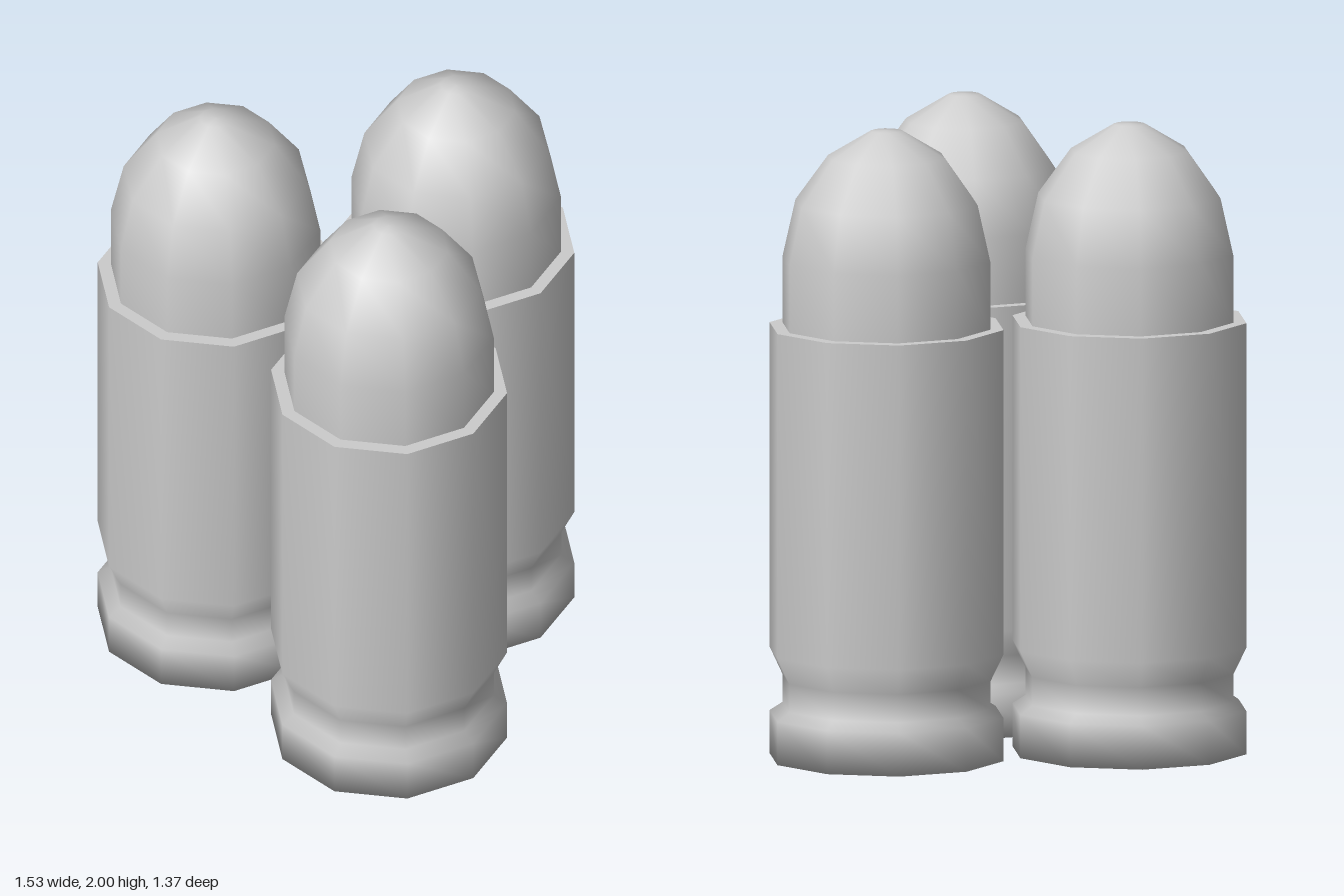
import * as THREE from 'three';

const SIDES = 10;
const material = new THREE.MeshStandardMaterial({ color: 0xcccccc });

// Turned part from [radius, height] pairs, with a corner of the decagon on the x axis
function turned(name, profile) {
  const points = profile.map(([r, y]) => new THREE.Vector2(r, y));
  const mesh = new THREE.Mesh(new THREE.LatheGeometry(points, SIDES, Math.PI / 2), material);
  mesh.name = name;
  return mesh;
}

function createCartridge(name) {
  const cartridge = new THREE.Group();
  cartridge.name = name;
  cartridge.add(
    // Base, rim, extractor groove and straight wall
    turned('case', [
      [0, 0], [0.376, 0], [0.376, 0.138], [0.335, 0.165],
      [0.335, 0.255], [0.376, 0.34], [0.376, 1.375],
    ]),
    // Flat mouth of the case
    turned('caseMouth', [[0.376, 1.375], [0.334, 1.375]]),
    // Rounded tip
    turned('bullet', [
      [0.334, 1.375], [0.334, 1.59], [0.293, 1.77],
      [0.188, 1.915], [0.05, 1.998], [0, 2],
    ]),
  );
  return cartridge;
}

export function createModel() {
  const model = new THREE.Group();
  model.name = 'cartridges';
  // Two in front, one behind
  const places = [
    ['rightCartridge', -0.388, 0.325],
    ['leftCartridge', 0.386, 0.325],
    ['backCartridge', 0.026, -0.331],
  ];
  for (const [name, x, z] of places) {
    const cartridge = createCartridge(name);
    cartridge.position.set(x, 0, z);
    model.add(cartridge);
  }
  return model;
}
